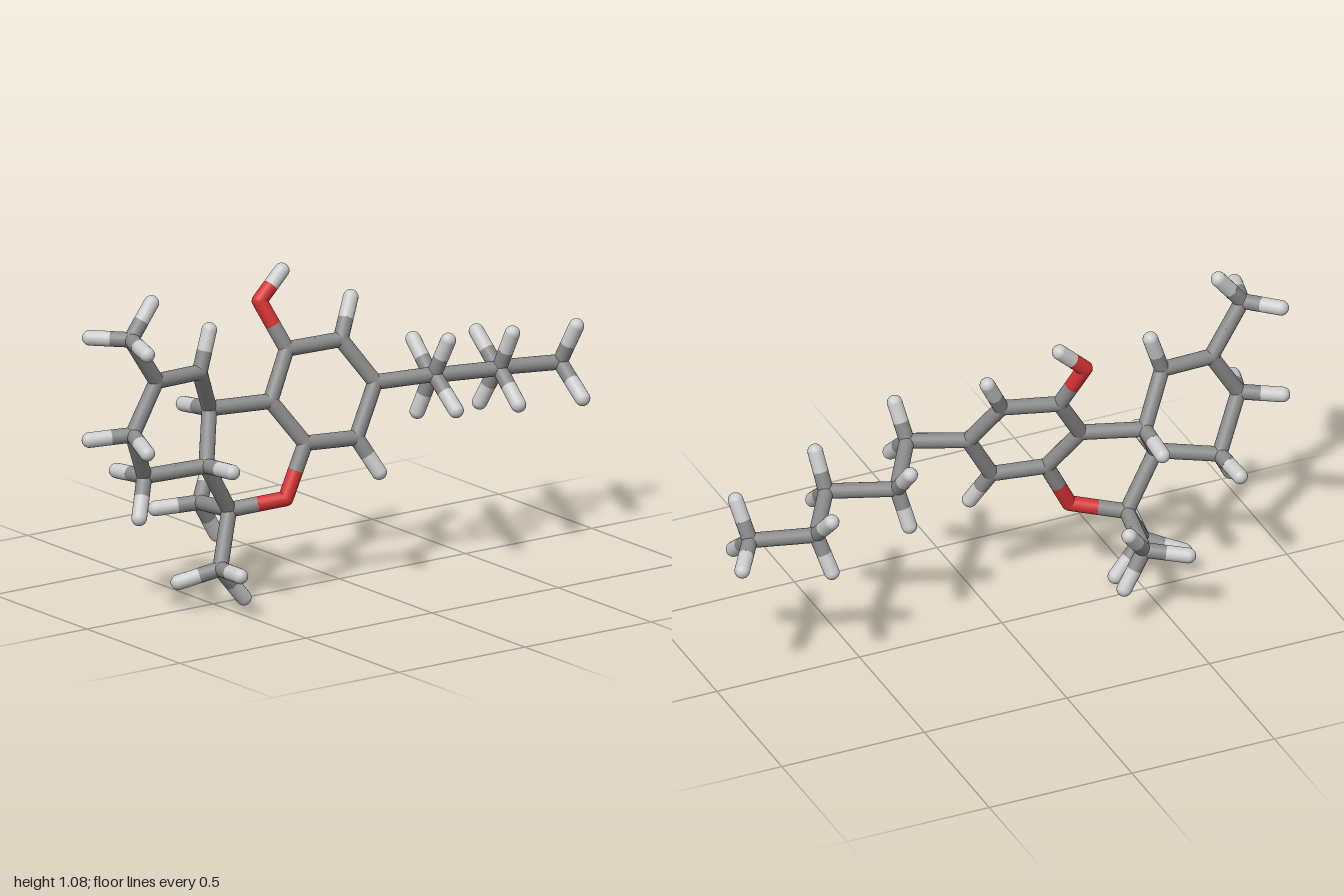
import * as THREE from 'three';

const RADIUS = 0.025;

// Heavy atoms: element and position
const atoms = {
  // flat six-sided ring
  a1: ['C', -0.28, 0.64, 0.01], a2: ['C', -0.19, 0.79, -0.025], a3: ['C', -0.005, 0.80, 0.015],
  a4: ['C', 0.08, 0.66, 0.085], a5: ['C', -0.013, 0.497, 0.11], a6: ['C', -0.19, 0.50, 0.075],
  // hydroxyl and bridging oxygen
  oh: ['O', -0.25, 0.945, -0.09], o: ['O', -0.275, 0.333, 0.085],
  // bridge and second ring
  gem: ['C', -0.44, 0.305, 0.005], r1: ['C', -0.56, 0.48, 0.045], r2: ['C', -0.478, 0.635, -0.05],
  r3: ['C', -0.575, 0.79, 0.03], r4: ['C', -0.75, 0.79, 0.035], r5: ['C', -0.848, 0.63, 0.04],
  r6: ['C', -0.75, 0.46, -0.03],
  // methyl branches
  m1: ['C', -0.527, 0.14, 0.075], m2: ['C', -0.41, 0.28, -0.195], m3: ['C', -0.87, 0.953, 0.06],
  // side chain
  c1: ['C', 0.265, 0.67, 0.15], c2: ['C', 0.375, 0.61, -0.015], c3: ['C', 0.59, 0.615, 0.06],
  c4: ['C', 0.695, 0.565, -0.095], c5: ['C', 0.9, 0.563, -0.035],
};

// Chains of bonded heavy atoms
const chains = [
  'a1 a2 a3 a4 a5 a6 a1', 'a2 oh', 'a6 o gem r1 r2 a1', 'r2 r3 r4 r5 r6 r1',
  'gem m1', 'gem m2', 'r4 m3', 'a4 c1 c2 c3 c4 c5',
];

// Hydrogens attached to each heavy atom
const hydrogens = {
  oh: [[-0.16, 1.03, -0.093]],
  a3: [[0.06, 0.922, -0.02]],
  a5: [[0.04, 0.385, 0.16]],
  r1: [[-0.56, 0.49, 0.185]],
  r2: [[-0.475, 0.618, -0.193]],
  r3: [[-0.53, 0.92, 0.02]],
  r5: [[-0.975, 0.62, -0.02], [-0.89, 0.605, 0.175]],
  r6: [[-0.76, 0.45, -0.165], [-0.815, 0.345, 0.03]],
  m1: [[-0.55, 0.15, 0.215], [-0.43, 0.027, 0.07], [-0.645, 0.1, 0.01]],
  m2: [[-0.335, 0.38, -0.245], [-0.335, 0.16, -0.207], [-0.535, 0.265, -0.262]],
  m3: [[-0.785, 1.06, 0.055], [-0.905, 0.94, 0.195], [-0.965, 0.955, -0.032]],
  c1: [[0.285, 0.79, 0.2], [0.275, 0.572, 0.255]],
  c2: [[0.37, 0.712, -0.105], [0.35, 0.487, -0.055]],
  c3: [[0.605, 0.74, 0.11], [0.585, 0.52, 0.17]],
  c4: [[0.685, 0.665, -0.192], [0.663, 0.445, -0.145]],
  c5: [[0.925, 0.69, 0.02], [0.905, 0.467, 0.08], [0.975, 0.528, -0.14]],
};

export function createModel() {
  const model = new THREE.Group();
  const makeMaterial = (name, color) => {
    const m = new THREE.MeshStandardMaterial({ color });
    m.name = name;
    return m;
  };
  const materials = {
    C: makeMaterial('carbonGrey', 0x8a8a8a),
    H: makeMaterial('hydrogenLightGrey', 0xcccccc),
    O: makeMaterial('oxygenRed', 0xd43232),
  };
  const labels = { C: 'carbon', H: 'hydrogen', O: 'oxygen' };
  const ball = new THREE.SphereGeometry(RADIUS, 20, 14);
  const stick = new THREE.CylinderGeometry(RADIUS, RADIUS, 1, 20, 1, true);
  const up = new THREE.Vector3(0, 1, 0);

  const addAtom = (element, p) => {
    const mesh = new THREE.Mesh(ball, materials[element]);
    mesh.name = labels[element] + 'Atom';
    mesh.position.copy(p);
    model.add(mesh);
  };
  const addHalfBond = (element, from, to) => {
    const dir = to.clone().sub(from);
    const mesh = new THREE.Mesh(stick, materials[element]);
    mesh.name = labels[element] + 'HalfBond';
    mesh.position.copy(from).add(to).multiplyScalar(0.5);
    mesh.scale.y = dir.length();
    mesh.quaternion.setFromUnitVectors(up, dir.normalize());
    model.add(mesh);
  };
  // Each bond takes one colour from each end, meeting in the middle
  const addBond = (e1, p1, e2, p2) => {
    const mid = p1.clone().lerp(p2, 0.5);
    addHalfBond(e1, p1, mid);
    addHalfBond(e2, p2, mid);
  };
  const place = (key) => new THREE.Vector3(...atoms[key].slice(1));

  for (const key in atoms) addAtom(atoms[key][0], place(key));

  for (const chain of chains) {
    const keys = chain.split(' ');
    for (let i = 1; i < keys.length; i++) {
      const [a, b] = [keys[i - 1], keys[i]];
      addBond(atoms[a][0], place(a), atoms[b][0], place(b));
    }
  }

  for (const key in hydrogens) {
    for (const xyz of hydrogens[key]) {
      const p = new THREE.Vector3(...xyz);
      addAtom('H', p);
      addBond(atoms[key][0], place(key), 'H', p);
    }
  }
  return model;
}
